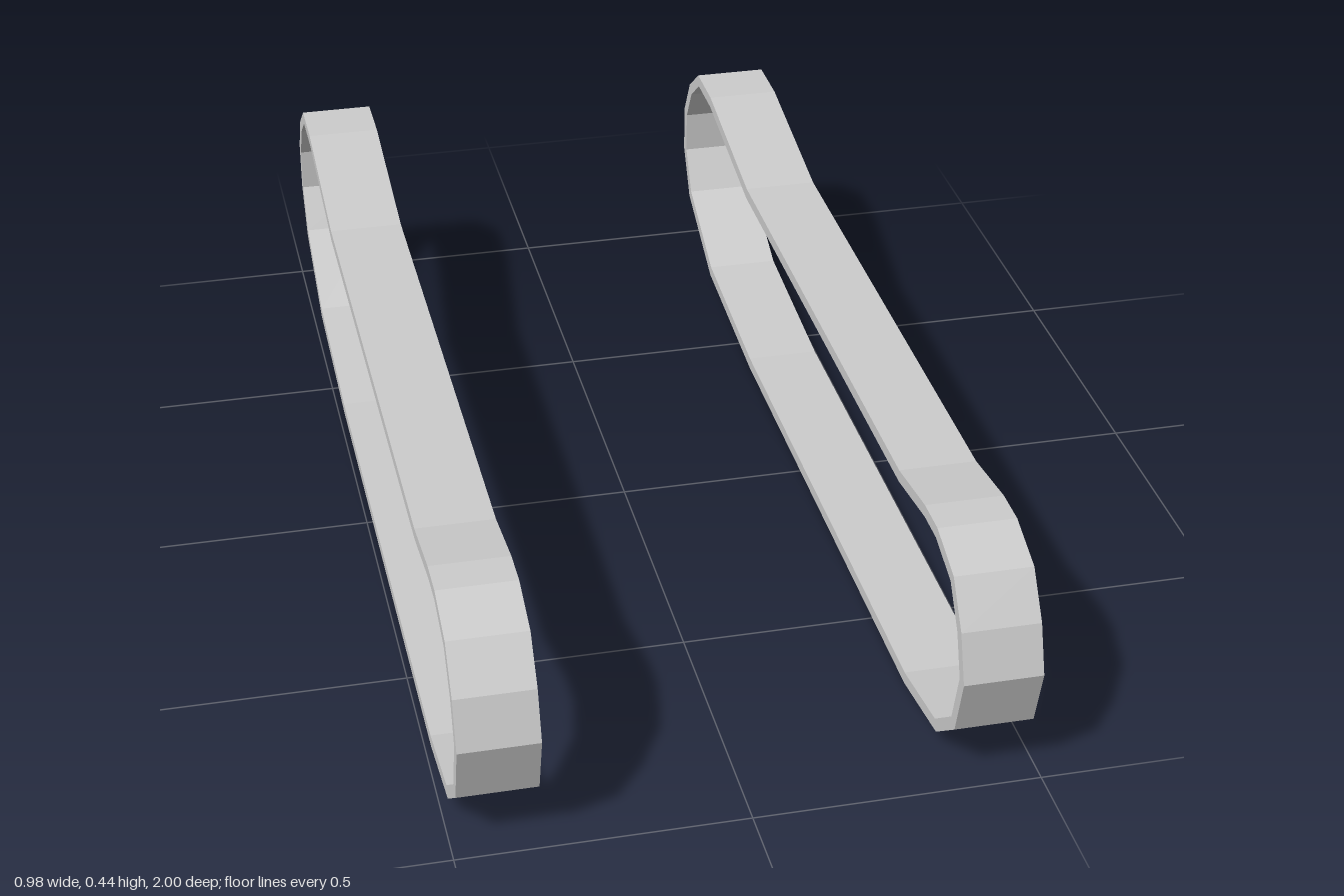
import * as THREE from 'three';

// Outer outline of the track band as [z, y], from the nose over the top to the back
const OUTLINE = [
  [1, 0.215], [0.97, 0.3], [0.915, 0.375], [0.82, 0.408], [0.75, 0.408], [0.605, 0.385],
  [-0.457, 0.385], [-0.77, 0.44], [-0.88, 0.44], [-0.955, 0.383], [-1, 0.305], [-1, 0.21],
  [-0.945, 0.12], [-0.745, 0.03], [-0.4, 0], [0.7, 0], [0.88, 0.03], [0.97, 0.103],
];
const THICKNESS = 0.022, WIDTH = 0.138, OFFSET = 0.42;

// Mitred inward offset of a closed counterclockwise outline
function inset(points, d) {
  const n = points.length;
  return points.map((p, i) => {
    const a = p.clone().sub(points[(i + n - 1) % n]).normalize();
    const b = points[(i + 1) % n].clone().sub(p).normalize();
    const na = new THREE.Vector2(-a.y, a.x), nb = new THREE.Vector2(-b.y, b.x);
    return p.clone().addScaledVector(na.clone().add(nb), d / (1 + na.dot(nb)));
  });
}

export function createModel() {
  const model = new THREE.Group();
  model.name = 'trackPair';
  const material = new THREE.MeshStandardMaterial({ color: 0xcccccc, flatShading: true });

  // Closed band: outline with an inset hole, extruded across the track width
  const outer = OUTLINE.map(([z, y]) => new THREE.Vector2(z, y));
  const shape = new THREE.Shape(outer);
  shape.holes.push(new THREE.Path(inset(outer, THICKNESS)));
  const band = new THREE.ExtrudeGeometry(shape, { depth: WIDTH, bevelEnabled: false });
  band.translate(0, 0, -WIDTH / 2).rotateY(-Math.PI / 2);

  // One track on each side
  for (const [name, side] of [['leftTrack', 1], ['rightTrack', -1]]) {
    const track = new THREE.Mesh(band, material);
    track.name = name;
    track.position.x = side * OFFSET;
    model.add(track);
  }
  return model;
}
